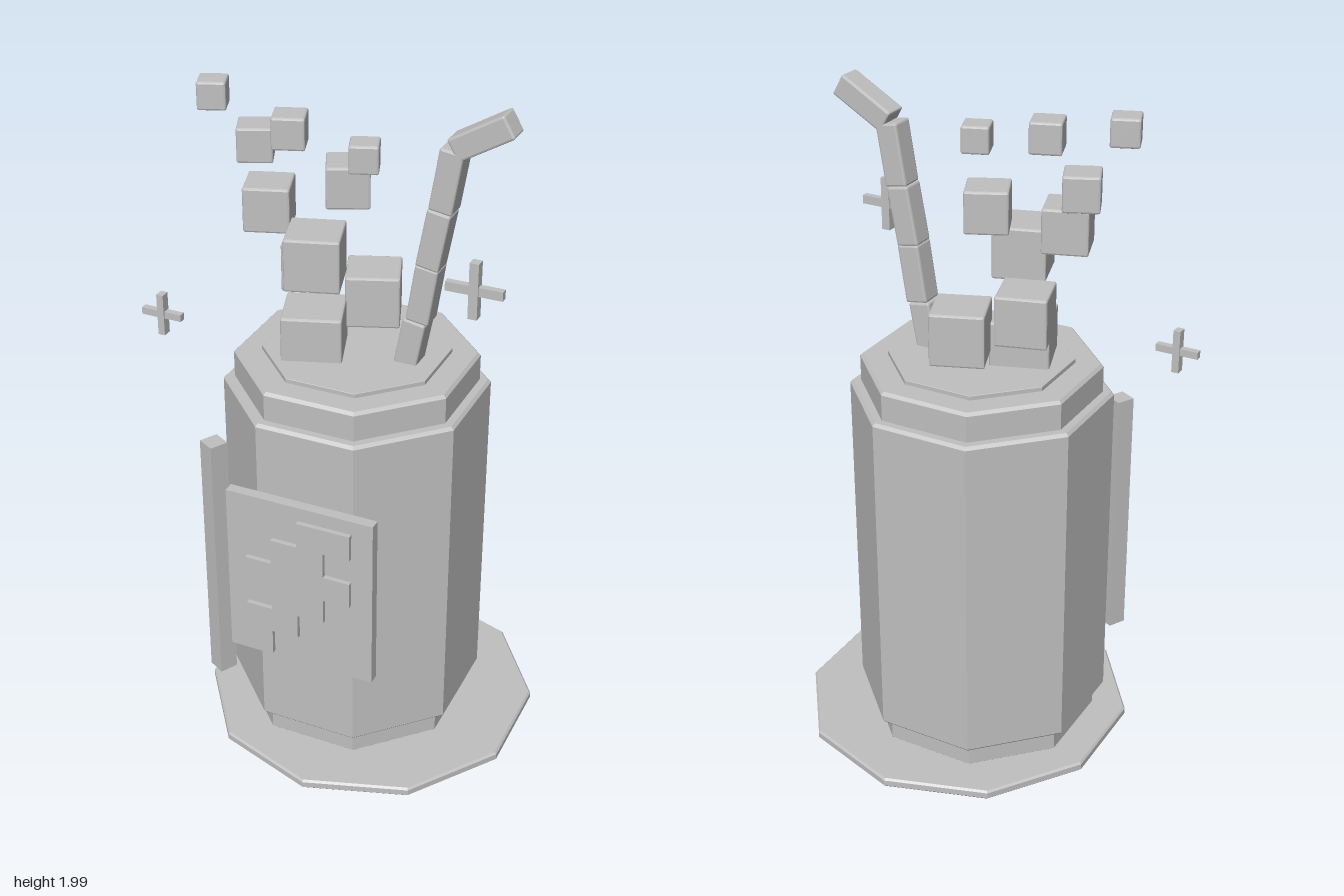
import * as THREE from 'three';
import { RoundedBoxGeometry } from 'three/addons/geometries/RoundedBoxGeometry.js';

const grey = new THREE.MeshStandardMaterial({ color: 0xc0c0c0 });
grey.name = 'plain grey';

// Give every face its own flat normal
function faceted(geometry) {
  const g = geometry.index ? geometry.toNonIndexed() : geometry;
  g.computeVertexNormals();
  return g;
}

function add(parent, name, geometry, x = 0, y = 0, z = 0) {
  const mesh = new THREE.Mesh(faceted(geometry), grey);
  mesh.name = name;
  mesh.position.set(x, y, z);
  parent.add(mesh);
  return mesh;
}

// Chamfered polygonal slab from y0 to y1; r is the corner radius
function prism(r, y0, y1, sides, turn, bevel) {
  const pts = [[0, y0], [r - bevel, y0], [r, y0 + bevel], [r, y1 - bevel], [r - bevel, y1], [0, y1]];
  return new THREE.LatheGeometry(pts.map(p => new THREE.Vector2(...p)), sides, turn);
}

const softBox = (w, h, d) => new RoundedBoxGeometry(w, h, d, 1, 0.006);

export function createModel() {
  const model = new THREE.Group();
  model.name = 'drinkCan';

  // Ten-sided puddle under the can
  add(model, 'base', prism(0.507, 0, 0.03, 10, 0, 0.006), 0.083);

  // Eight-sided can, stacked from slabs: apothem, bottom, top, bevel
  const can = new THREE.Group();
  can.name = 'can';
  can.position.x = 0.03;
  model.add(can);
  const slabs = [
    ['bottomRim', 0.325, 0.025, 0.11, 0.006],
    ['canBody', 0.355, 0.1, 1.13, 0.009],
    ['topRim', 0.325, 1.12, 1.217, 0.009],
    ['lid', 0.25, 1.2, 1.23, 0.001],
  ];
  for (const [name, apothem, y0, y1, bevel] of slabs) {
    add(can, name, prism(apothem / Math.cos(Math.PI / 8), y0, y1, 8, Math.PI / 8, bevel));
  }

  // Highlight strip at the front right corner of the can
  add(model, 'highlightStrip', new THREE.BoxGeometry(0.056, 0.8, 0.056), -0.267, 0.62, 0.325).rotation.y = -0.5;

  // Label panel with a stepped bolt
  add(model, 'labelPanel', new THREE.BoxGeometry(0.45, 0.54, 0.032), 0.03, 0.65, 0.381);
  const steps = [[2, 6], [4, 6], [4, 5], [3, 5], [3, 4], [4, 4], [4, 3], [3, 3], [3, 2], [2, 2], [2, 1],
    [1, 1], [1, 0], [0, 0], [0, 2], [1, 2], [1, 3], [0, 3], [0, 4], [1, 4], [1, 5], [2, 5]];
  const bolt = new THREE.Shape(steps.map(([x, y]) => new THREE.Vector2(x * 0.081, y * 0.08)));
  add(model, 'bolt', new THREE.ExtrudeGeometry(bolt, { depth: 0.015, bevelEnabled: false }), -0.133, 0.397, 0.396);

  // Rising cubes: x, y, z, size, turn
  const cubes = [
    [-0.078, 1.275, 0.055, 0.172, 0.33], [0.029, 1.35, -0.118, 0.156, 0.36],
    [-0.157, 1.43, -0.088, 0.146, 0.29], [-0.05, 1.543, 0.103, 0.154, 0.3],
    [-0.213, 1.65, 0.05, 0.13, 0.32], [-0.024, 1.705, -0.057, 0.122, 0.42],
    [-0.291, 1.79, -0.03, 0.101, 0.4], [-0.133, 1.884, 0.077, 0.091, 0.33],
    [0.083, 1.845, 0.076, 0.08, 0.35], [-0.374, 1.942, 0.051, 0.08, 0.36],
  ];
  const bubbles = new THREE.Group();
  bubbles.name = 'bubbles';
  model.add(bubbles);
  for (const [x, y, z, size, turn] of cubes) {
    add(bubbles, 'bubble', softBox(size, size, size), x, y, z).rotation.y = turn;
  }

  // Straw: short square links, with a bent tip
  const straw = new THREE.Group();
  straw.name = 'straw';
  model.add(straw);
  const links = [
    [0.183, 1.19, 0.215, 1.363], [0.222, 1.362, 0.248, 1.533], [0.247, 1.53, 0.278, 1.7],
    [0.28, 1.7, 0.309, 1.877], [0.31, 1.878, 0.462, 1.967],
  ];
  for (const [x0, y0, x1, y1] of links) {
    const length = Math.hypot(x1 - x0, y1 - y0);
    const link = add(straw, 'strawLink', softBox(0.068, length, 0.072), (x0 + x1) / 2, (y0 + y1) / 2, 0);
    link.rotation.z = -Math.atan2(x1 - x0, y1 - y0);
  }

  // Floating sparkles
  for (const [x, y, span, thick] of [[0.433, 1.565, 0.16, 0.026], [-0.507, 1.297, 0.126, 0.021]]) {
    const sparkle = new THREE.Group();
    sparkle.name = 'sparkle';
    sparkle.position.set(x, y, 0.16);
    add(sparkle, 'sparkleAcross', new THREE.BoxGeometry(span, thick, 0.02));
    add(sparkle, 'sparkleUpright', new THREE.BoxGeometry(thick, span, 0.028));
    model.add(sparkle);
  }
  return model;
}
